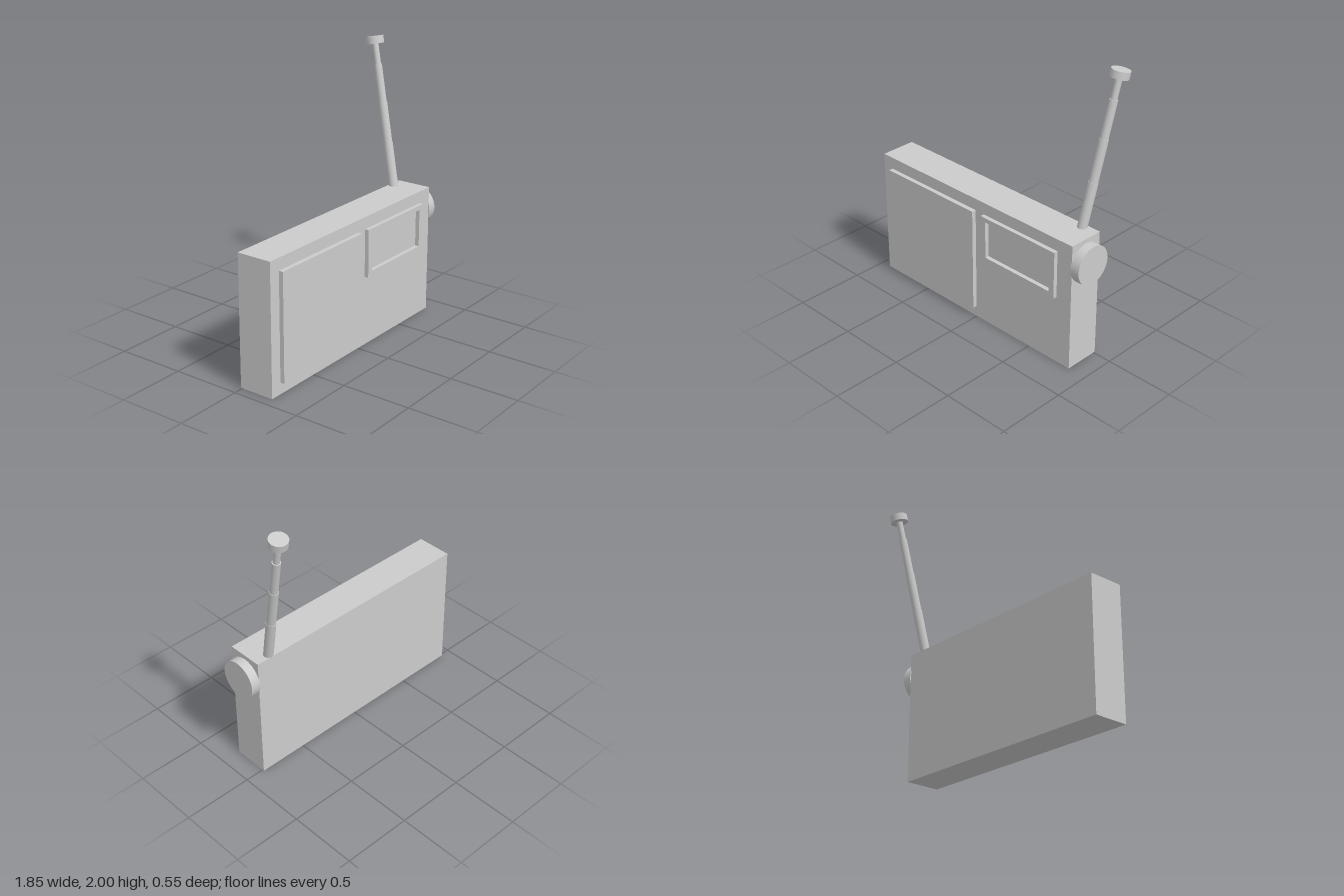
import * as THREE from 'three';

const material = new THREE.MeshStandardMaterial({ color: 0xcccccc });

function part(parent, name, geometry) {
  const mesh = new THREE.Mesh(geometry, material);
  mesh.name = name;
  parent.add(mesh);
  return mesh;
}

// Box given by its lower and upper corners
function block(parent, name, [x0, y0, z0], [x1, y1, z1]) {
  const mesh = part(parent, name, new THREE.BoxGeometry(x1 - x0, y1 - y0, z1 - z0));
  mesh.position.set((x0 + x1) / 2, (y0 + y1) / 2, (z0 + z1) / 2);
  return mesh;
}

function rectangle(path, x0, y0, x1, y1) {
  return path.moveTo(x0, y0).lineTo(x1, y0).lineTo(x1, y1).lineTo(x0, y1).closePath();
}

export function createModel() {
  const radio = new THREE.Group();
  radio.name = 'radio';

  // Case and raised speaker panel
  block(radio, 'case', [-0.925, 0, -0.013], [0.86, 0.94, 0.247]);
  block(radio, 'speakerPanel', [-0.84, 0.083, 0.24], [-0.003, 0.853, 0.279]);

  // Raised frame around the tuning window
  const frame = rectangle(new THREE.Shape(), 0.075, 0.507, 0.737, 0.853);
  frame.holes.push(rectangle(new THREE.Path(), 0.117, 0.545, 0.695, 0.82));
  const frameMesh = part(radio, 'windowFrame',
    new THREE.ExtrudeGeometry(frame, { depth: 0.032, bevelEnabled: false }));
  frameMesh.position.z = 0.245;

  // Tuning knob on the side
  const knob = part(radio, 'tuningKnob', new THREE.CylinderGeometry(0.139, 0.139, 0.07, 48));
  knob.rotation.z = Math.PI / 2;
  knob.position.set(0.89, 0.77, 0.117);

  // Tilted telescopic antenna, built along its own y axis
  const antenna = new THREE.Group();
  antenna.name = 'antenna';
  const base = new THREE.Vector3(0.742, 0.94, 0.02);
  const tip = new THREE.Vector3(0.811, 1.985, -0.212);
  const axis = tip.clone().sub(base);
  const length = axis.length();
  antenna.position.copy(base);
  antenna.quaternion.setFromUnitVectors(new THREE.Vector3(0, 1, 0), axis.normalize());
  radio.add(antenna);

  // Each section: radius, start, end
  const sections = [
    [0.034, -0.04, 0.315],
    [0.0315, 0.315, 0.61],
    [0.0285, 0.61, 0.875],
    [0.0225, 0.875, length - 0.04],
    [0.064, length - 0.052, length],
  ];
  sections.forEach(([radius, start, end], i) => {
    const name = i < 4 ? `antennaSection${i + 1}` : 'antennaCap';
    const mesh = part(antenna, name, new THREE.CylinderGeometry(radius, radius, end - start, 32));
    mesh.position.y = (start + end) / 2;
  });

  return radio;
}
